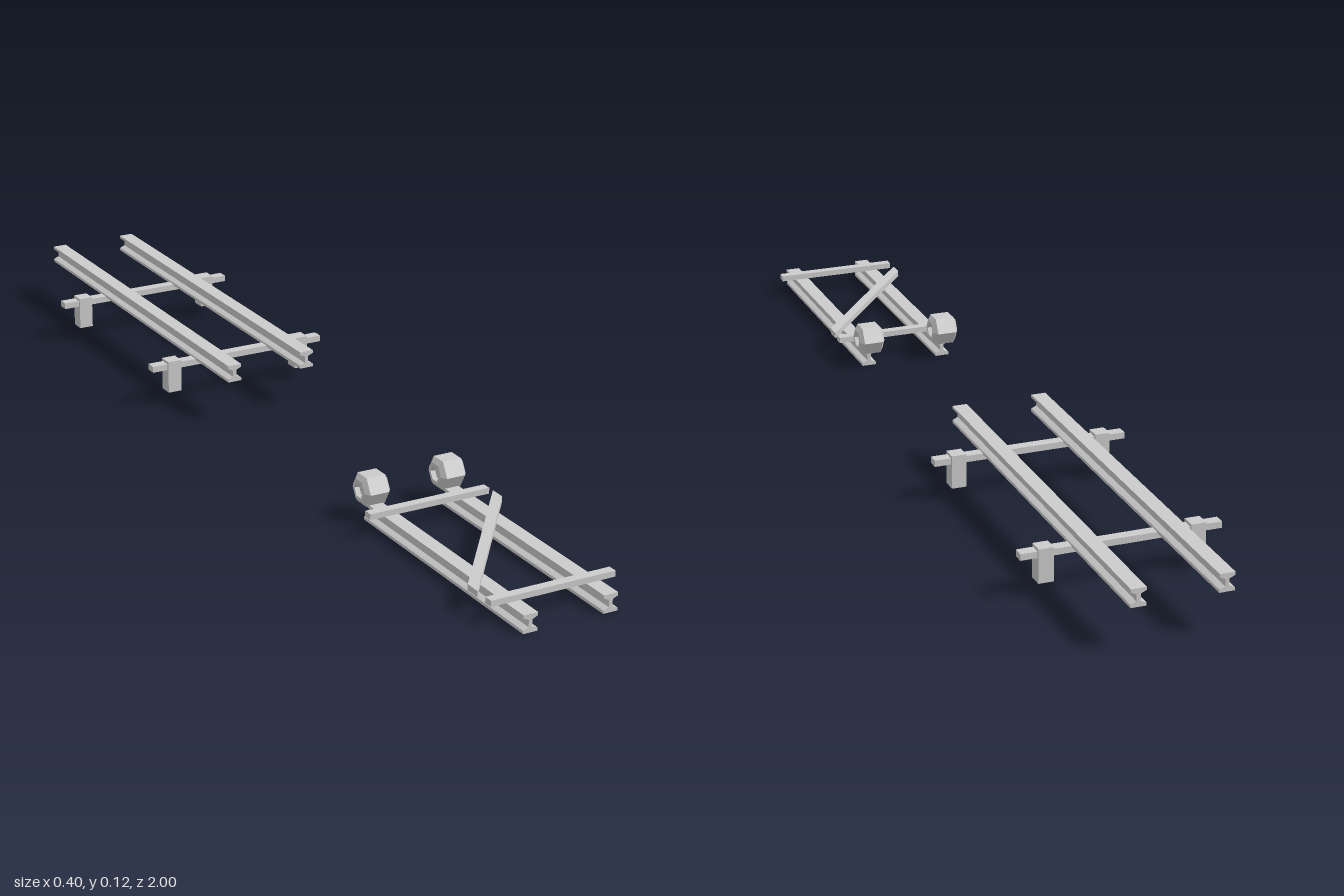
import * as THREE from 'three';

const mat = new THREE.MeshStandardMaterial({ color: 0xcccccc, flatShading: true });

function add(parent, name, geometry, x = 0, y = 0, z = 0) {
  const mesh = new THREE.Mesh(geometry, mat);
  mesh.name = name;
  mesh.position.set(x, y, z);
  parent.add(mesh);
  return mesh;
}

// I-beam section with tapered flanges, standing on y = 0, extruded along z
function railGeometry(length) {
  const h = 0.036, f = 0.015, w = 0.004;
  const half = [[f, 0], [f, 0.006], [0.011, 0.008], [w, 0.011],
    [w, h - 0.011], [0.011, h - 0.008], [f, h - 0.006], [f, h]];
  const outline = [...half, ...half.map(([x, y]) => [-x, y]).reverse()];
  const shape = new THREE.Shape(outline.map(([x, y]) => new THREE.Vector2(x, y)));
  return new THREE.ExtrudeGeometry(shape, { depth: length, bevelEnabled: false });
}

// Six-sided roller with chamfered rims and recessed hubs, axle along x
function rollerGeometry() {
  const side = [[0.001, 0.018], [0.014, 0.018], [0.016, 0.0275], [0.023, 0.0275], [0.034, 0.02]];
  const profile = [...side.map(([r, a]) => [r, -a]), ...side.map(([r, a]) => [r, a]).reverse()];
  const geo = new THREE.LatheGeometry(profile.map(([r, a]) => new THREE.Vector2(r, a)), 6);
  return geo.rotateZ(Math.PI / 2);
}

export function createModel() {
  const model = new THREE.Group();
  model.name = 'railFrames';
  const railX = 0.084;

  // Low front frame: rails, ties, diagonal brace and rollers
  const lower = new THREE.Group();
  lower.name = 'lowerFrame';
  model.add(lower);
  for (const s of [-1, 1]) {
    const side = s > 0 ? 'left' : 'right';
    add(lower, side + 'LowerRail', railGeometry(0.557), s * railX, 0, 0.443);
    add(lower, side + 'Roller', rollerGeometry(), s * railX, 0.063, 0.443);
  }
  for (const z of [0.512, 0.935]) {
    add(lower, 'lowerTie', new THREE.BoxGeometry(0.262, 0.012, 0.019), 0, 0.042, z);
  }
  // Brace is a tie sheared along z so its ends stay parallel to the rails
  const brace = new THREE.BoxGeometry(0.262, 0.012, 0.033);
  const p = brace.attributes.position;
  for (let i = 0; i < p.count; i++) p.setZ(i, p.getZ(i) - 1.27 * p.getX(i));
  brace.computeVertexNormals();
  add(lower, 'diagonalBrace', brace, 0, 0.042, 0.717);

  // Raised rear frame: rails on crossbars with support posts
  const upper = new THREE.Group();
  upper.name = 'upperFrame';
  model.add(upper);
  for (const s of [-1, 1]) {
    add(upper, (s > 0 ? 'left' : 'right') + 'UpperRail', railGeometry(0.88), s * railX, 0.087, -1);
  }
  for (const z of [-0.28, -0.727]) {
    add(upper, 'crossbar', new THREE.BoxGeometry(0.397, 0.013, 0.022), 0, 0.083, z);
    for (const s of [-1, 1]) {
      add(upper, 'supportPost', new THREE.BoxGeometry(0.03, 0.068, 0.03), s * 0.15, 0.061, z);
    }
  }
  return model;
}
